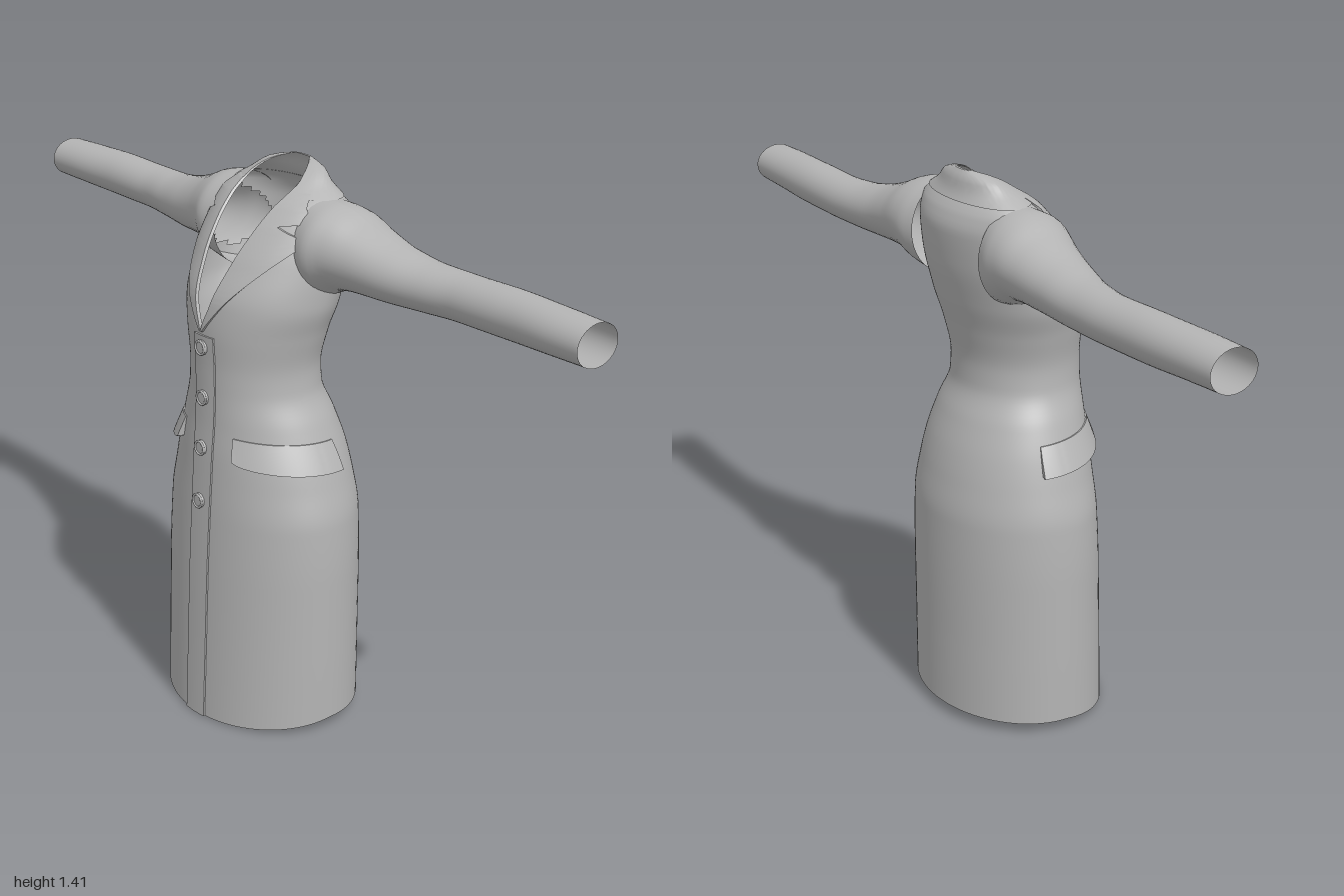
import * as THREE from 'three';
import { toCreasedNormals } from 'three/addons/utils/BufferGeometryUtils.js';

const fabric = new THREE.MeshStandardMaterial({ color: 0xb4b4b4, side: THREE.DoubleSide });
fabric.name = 'grey fabric';

// Body sections: height, half width, front z, back z, z of widest point, half width of the front opening
const BODY = [
  [0, 0.28, 0.222, -0.22, 0, 0],
  [0.2, 0.281, 0.214, -0.22, 0, 0],
  [0.4, 0.281, 0.206, -0.221, 0, 0],
  [0.55, 0.275, 0.198, -0.22, 0, 0],
  [0.65, 0.253, 0.192, -0.206, -0.005, 0],
  [0.72, 0.234, 0.188, -0.19, -0.005, 0],
  [0.8, 0.206, 0.182, -0.162, 0, 0],
  [0.88, 0.174, 0.18, -0.132, 0.01, 0],
  [0.93, 0.17, 0.18, -0.13, 0.01, 0],
  [1.02, 0.186, 0.183, -0.146, 0, 0],
  [1.1, 0.207, 0.176, -0.168, -0.02, 0.026],
  [1.2, 0.212, 0.135, -0.188, -0.055, 0.052],
  [1.28, 0.207, 0.082, -0.193, -0.075, 0.07],
  [1.33, 0.195, 0.035, -0.176, -0.085, 0.08],
  [1.35, 0.168, 0.01, -0.158, -0.088, 0.084],
  [1.37, 0.132, -0.015, -0.148, -0.09, 0.086],
  [1.4, 0.09, -0.07, -0.139, -0.105, 0.066],
  [1.415, 0.03, -0.117, -0.128, -0.123, 0.029],
];

// Sleeve sections: x, bottom y, top y, back z, front z
const SLEEVE = [
  [0.15, 1.11, 1.35, -0.18, 0.035],
  [0.2, 1.125, 1.347, -0.193, 0.045],
  [0.24, 1.143, 1.338, -0.192, 0.03],
  [0.3, 1.148, 1.313, -0.185, 0.01],
  [0.4, 1.147, 1.282, -0.178, -0.015],
  [0.5, 1.148, 1.266, -0.178, -0.04],
  [0.6, 1.15, 1.263, -0.18, -0.055],
  [0.75, 1.152, 1.266, -0.179, -0.055],
  [0.9, 1.157, 1.264, -0.174, -0.048],
  [1.0, 1.16, 1.261, -0.17, -0.046],
];

// Smooth interpolation of a section table by its first column
function sample(rows, t) {
  let i = 0;
  while (i < rows.length - 2 && t > rows[i + 1][0]) i++;
  const h = rows[i + 1][0] - rows[i][0];
  const s = THREE.MathUtils.clamp((t - rows[i][0]) / h, 0, 1);
  const secant = (k, c) => (rows[k + 1][c] - rows[k][c]) / (rows[k + 1][0] - rows[k][0]);
  const slope = (k, c) => {
    const a = secant(Math.max(k - 1, 0), c), b = secant(Math.min(k, rows.length - 2), c);
    return a * b <= 0 ? 0 : (2 * a * b) / (a + b);
  };
  return rows[i].map((p, c) => c === 0 ? t :
    p * (1 + 2 * s) * (1 - s) ** 2 + rows[i + 1][c] * s * s * (3 - 2 * s) +
    h * (slope(i, c) * s * (1 - s) ** 2 + slope(i + 1, c) * s * s * (s - 1)));
}

// Point on the body at an angle from the front, pushed outwards by off
function bodyPoint(angle, y, off = 0) {
  const [, w, front, back, mid] = sample(BODY, y);
  const c = Math.cos(angle);
  const depth = c > 0 ? front - mid : mid - back;
  const hem = 0.028 * (1 - Math.max(0, c)) * Math.max(0, 1 - y / 0.3);
  return [(w + off) * Math.sin(angle), y + hem, mid + (depth + off) * c];
}

// Same, addressed by x on the front side
function frontPoint(x, y, off) {
  const w = sample(BODY, y)[1];
  return bodyPoint(Math.asin(THREE.MathUtils.clamp(x / w, -0.98, 0.98)), y, off);
}

function openingAngle(y) {
  const [, w, , , , gap] = sample(BODY, y);
  return Math.asin(Math.min(gap / w, 0.99));
}

// Surface from a rule f(u, v) -> [x, y, z]
function grid(name, nu, nv, f, { skip, crease } = {}) {
  const pos = [], index = [];
  for (let j = 0; j <= nv; j++)
    for (let i = 0; i <= nu; i++) pos.push(...f(i / nu, j / nv));
  for (let j = 0; j < nv; j++)
    for (let i = 0; i < nu; i++) {
      const a = j * (nu + 1) + i, b = a + 1, d = a + nu + 1, c = d + 1;
      const mid = [0, 1, 2].map((k) => (pos[a * 3 + k] + pos[c * 3 + k]) / 2);
      if (skip && skip(mid)) continue;
      index.push(a, b, c, a, c, d);
    }
  let g = new THREE.BufferGeometry();
  g.setAttribute('position', new THREE.Float32BufferAttribute(pos, 3));
  g.setIndex(index);
  if (crease) g = toCreasedNormals(g, 0.7);
  else g.computeVertexNormals();
  const mesh = new THREE.Mesh(g, fabric);
  mesh.name = name;
  return mesh;
}

// Thin plate: its outermost cells fold back to the cloth
function plate(name, nu, nv, point, height) {
  const inner = (t, n) => THREE.MathUtils.clamp((t * n - 1) / (n - 2), 0, 1);
  return grid(name, nu, nv, (u, v) => {
    const edge = u === 0 || u === 1 || v === 0 || v === 1;
    const a = inner(u, nu), b = inner(v, nv);
    return point(a, b, edge ? -0.001 : height(a, b));
  }, { crease: true });
}

// Outer lapel outline with the notch below the collar: height, x
const LAPEL = [[1.03, 0.004], [1.1, 0.058], [1.2, 0.137], [1.255, 0.18], [1.27, 0.172],
  [1.293, 0.115], [1.302, 0.17], [1.318, 0.166], [1.36, 0.128]];
function lapelEdge(y) {
  let i = 0;
  while (i < LAPEL.length - 2 && y > LAPEL[i + 1][0]) i++;
  const [[y0, x0], [y1, x1]] = [LAPEL[i], LAPEL[i + 1]];
  return x0 + (x1 - x0) * (y - y0) / (y1 - y0);
}

export function createModel() {
  const coat = new THREE.Group();
  coat.name = 'coat';

  // Body, with open armholes and neckline
  coat.add(grid('body', 96, 118, (u, v) => {
    const y = 1.415 * v, a = openingAngle(y);
    return bodyPoint(a + u * (Math.PI * 2 - 2 * a), y);
  }, {
    skip: ([x, y, z]) => Math.abs(x) > 0.13 && ((y - 1.23) / 0.075) ** 2 + ((z + 0.07) / 0.08) ** 2 < 1,
  }));

  // Collar band round the neck
  coat.add(plate('collar', 64, 10, (u, v, off) => {
    const y = 1.348 + 0.067 * v, a = openingAngle(y);
    return bodyPoint(a + u * (Math.PI * 2 - 2 * a), y, off);
  }, () => 0.006));

  // Front placket
  coat.add(plate('placket', 6, 60, (u, v, off) => frontPoint(-0.03 + 0.07 * u, 1.02 * v, off), () => 0.005));

  for (const s of [1, -1]) {
    const side = s > 0 ? 'left' : 'right';

    coat.add(grid(side + 'Sleeve', 40, 64, (u, v) => {
      const [x, y0, y1, z0, z1] = sample(SLEEVE, 0.15 + 0.85 * v);
      const a = u * Math.PI * 2;
      return [s * x, (y0 + y1) / 2 + (y1 - y0) / 2 * Math.cos(a), (z0 + z1) / 2 + s * (z1 - z0) / 2 * Math.sin(a)];
    }));

    coat.add(plate(side + 'Lapel', 12, 80, (u, v, off) => {
      const y = 1.03 + 0.33 * v;
      const inner = sample(BODY, y)[5], outer = Math.max(lapelEdge(y), inner + 0.002);
      const t = s > 0 ? u : 1 - u;
      return frontPoint(s * (inner + (outer - inner) * t), y, off);
    }, () => 0.008));

    // Pocket flap, standing off the hip along its lower edge
    coat.add(plate(side + 'PocketFlap', 24, 8, (u, v, off) => {
      const t = s > 0 ? u : 1 - u;
      const angle = THREE.MathUtils.degToRad(26 + 78 * t);
      const top = 0.775 - 0.015 * t;
      const bottom = 0.722 - 0.033 * Math.sqrt(t);
      return bodyPoint(s * angle, bottom + (top - bottom) * v, off);
    }, (u, v) => 0.003 + 0.014 * (1 - v)));
  }

  // Buttons with a raised rim
  for (const y of [0.99, 0.86, 0.73, 0.59]) {
    const button = new THREE.Group();
    button.name = 'button';
    const disc = new THREE.Mesh(new THREE.CylinderGeometry(0.018, 0.019, 0.008, 20), fabric);
    disc.rotation.x = Math.PI / 2;
    disc.name = 'buttonDisc';
    const rim = new THREE.Mesh(new THREE.TorusGeometry(0.017, 0.003, 8, 24), fabric);
    rim.position.z = 0.004;
    rim.name = 'buttonRim';
    button.add(disc, rim);
    button.position.set(0.003, y, bodyPoint(0, y)[2] + 0.008);
    coat.add(button);
  }
  return coat;
}
